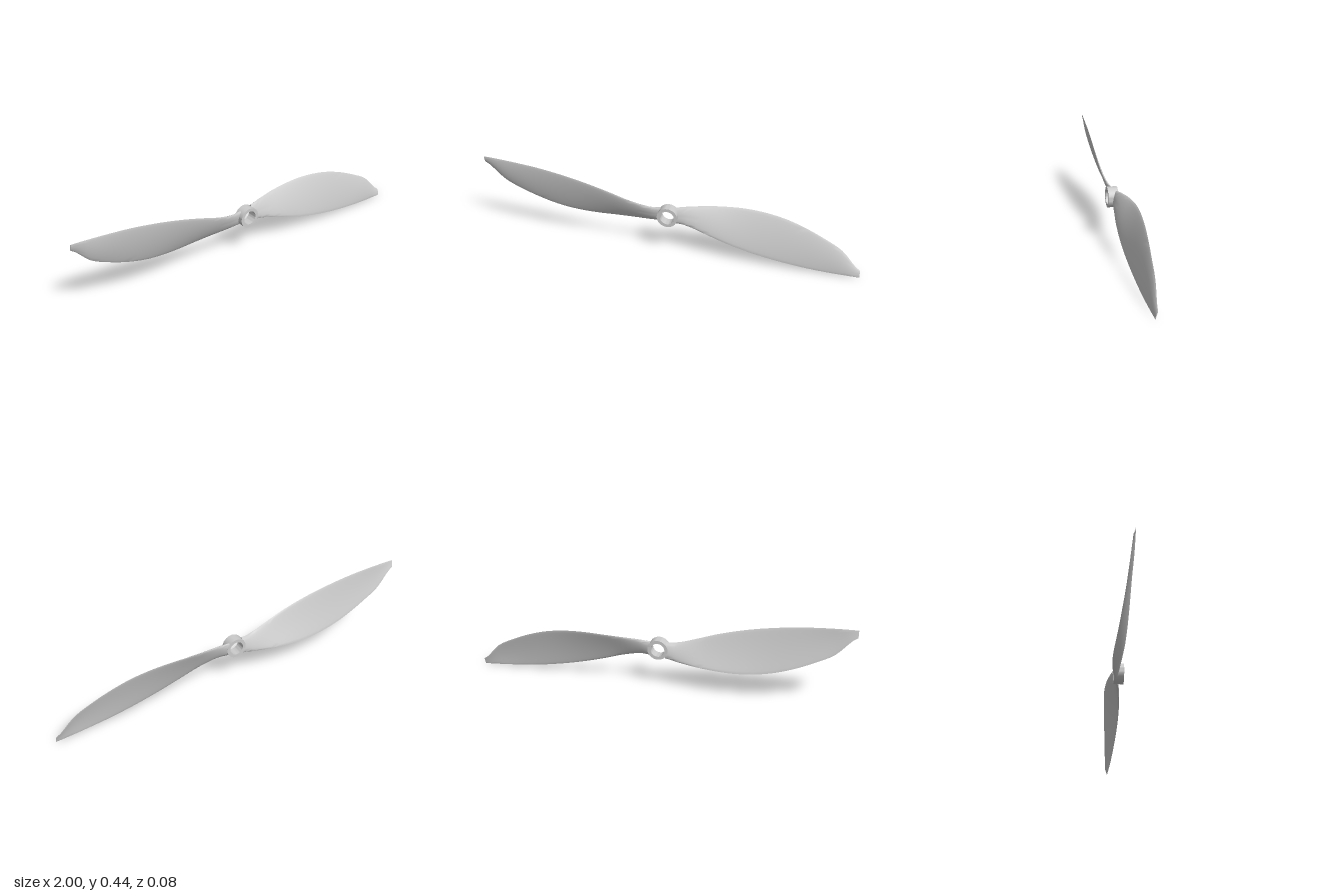
import * as THREE from 'three';
import { toCreasedNormals } from 'three/addons/utils/BufferGeometryUtils.js';

const CENTER_Y = 0.222;

// Blade stations: [x, rear edge y, rear edge z, front edge y, front edge z, thickness]
const STATIONS = [
  [0.04, 0.266, -0.008, 0.180, 0.010, 0.026],
  [0.10, 0.274, -0.017, 0.178, 0.019, 0.022],
  [0.20, 0.283, -0.031, 0.150, 0.030, 0.016],
  [0.30, 0.289, -0.038, 0.115, 0.034, 0.012],
  [0.40, 0.291, -0.039, 0.085, 0.034, 0.010],
  [0.50, 0.284, -0.035, 0.060, 0.032, 0.009],
  [0.60, 0.266, -0.029, 0.040, 0.029, 0.008],
  [0.70, 0.234, -0.022, 0.024, 0.026, 0.007],
  [0.80, 0.190, -0.014, 0.013, 0.023, 0.006],
  [0.90, 0.134, -0.007, 0.005, 0.019, 0.005],
  [1.00, 0.035, 0.004, 0.000, 0.015, 0.003],
];

// Cambered section loop around the chord of one station
function section([x, y0, z0, y1, z1, thick], sides) {
  const length = Math.hypot(y1 - y0, z1 - z0);
  const ny = (z1 - z0) / length, nz = (y0 - y1) / length; // towards the front face
  const camber = Math.min(0.006, length * 0.04) * THREE.MathUtils.smoothstep(x, 0.05, 0.3);
  const loop = [];
  for (let i = 0; i < sides; i++) {
    const a = (i / sides) * Math.PI * 2;
    const t = (1 - Math.cos(a)) / 2;
    const h = Math.sin(a) * thick / 2 + camber * 4 * t * (1 - t);
    loop.push([x, y0 + (y1 - y0) * t + ny * h - CENTER_Y, z0 + (z1 - z0) * t + nz * h]);
  }
  return loop;
}

function bladeGeometry() {
  const sides = 24, steps = 4, rows = [];
  // Smooth rows between neighbouring stations
  for (let s = 0; s < STATIONS.length - 1; s++) {
    const a = STATIONS[Math.max(s - 1, 0)], b = STATIONS[s];
    const c = STATIONS[s + 1], d = STATIONS[Math.min(s + 2, STATIONS.length - 1)];
    const last = s === STATIONS.length - 2;
    for (let k = 0; k < steps + (last ? 1 : 0); k++) {
      const t = k / steps;
      rows.push(b.map((v, j) => {
        if (j === 0) return v + (c[0] - v) * t;
        const m0 = (c[j] - a[j]) / 2, m1 = (d[j] - v) / 2;
        return v + m0 * t + (3 * (c[j] - v) - 2 * m0 - m1) * t * t
          + (2 * (v - c[j]) + m0 + m1) * t * t * t;
      }));
    }
  }
  const positions = rows.flatMap(r => section(r, sides)).flat();
  const index = [];
  for (let r = 0; r < rows.length - 1; r++) {
    for (let i = 0; i < sides; i++) {
      const j = (i + 1) % sides;
      const a = r * sides + i, b = r * sides + j, c = a + sides, d = b + sides;
      index.push(a, b, c, b, d, c);
    }
  }
  // Root and tip caps
  const tip = (rows.length - 1) * sides;
  for (let i = 1; i < sides - 1; i++) {
    index.push(0, i + 1, i, tip, tip + i, tip + i + 1);
  }
  const g = new THREE.BufferGeometry();
  g.setAttribute('position', new THREE.Float32BufferAttribute(positions, 3));
  g.setIndex(index);
  // Make sure the winding faces outwards
  let volume = 0;
  const p = i => new THREE.Vector3(...positions.slice(i * 3, i * 3 + 3));
  for (let i = 0; i < index.length; i += 3) {
    volume += p(index[i]).dot(p(index[i + 1]).cross(p(index[i + 2])));
  }
  if (volume < 0) {
    for (let i = 0; i < index.length; i += 3) [index[i], index[i + 1]] = [index[i + 1], index[i]];
    g.setIndex(index);
  }
  return toCreasedNormals(g, Math.PI / 4);
}

export function createModel() {
  const model = new THREE.Group();
  model.name = 'propeller';
  const material = new THREE.MeshStandardMaterial({ color: 0xcccccc });
  const add = (name, geometry) => {
    const mesh = new THREE.Mesh(geometry, material);
    mesh.name = name;
    mesh.position.y = CENTER_Y;
    model.add(mesh);
    return mesh;
  };

  // Hub ring with its bore along z
  const ring = [[0.037, -0.014], [0.054, -0.014], [0.054, 0.039], [0.037, 0.039], [0.037, -0.014]]
    .map(([r, h]) => new THREE.Vector2(r, h));
  const hub = toCreasedNormals(new THREE.LatheGeometry(ring, 40), Math.PI / 5);
  hub.rotateX(Math.PI / 2);
  add('hub', hub);

  // Two identical blades, half a turn apart
  const blade = bladeGeometry();
  add('leftBlade', blade);
  add('rightBlade', blade).rotation.z = Math.PI;

  return model;
}
